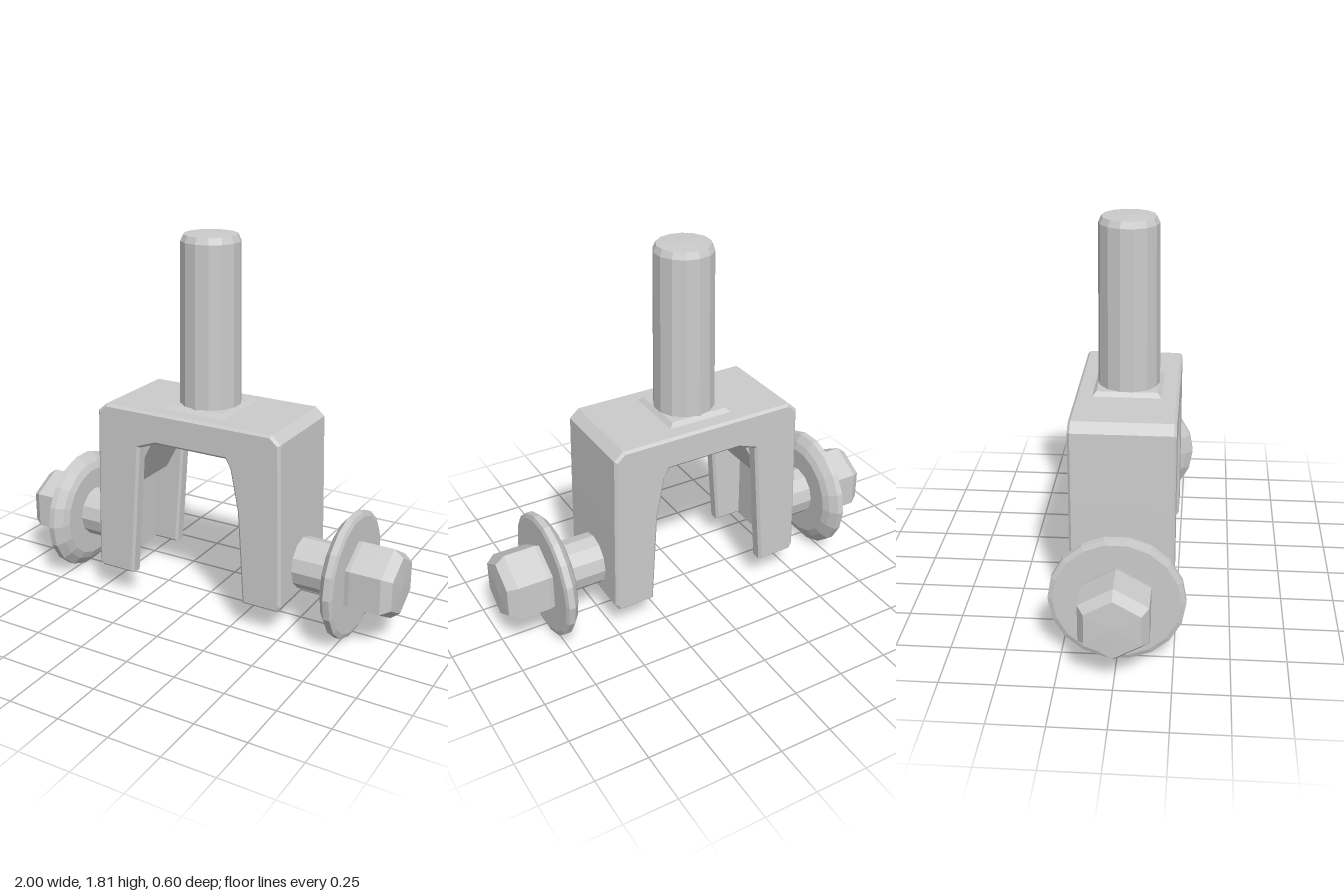
import * as THREE from 'three';

const material = new THREE.MeshStandardMaterial({ color: 0xcccccc, flatShading: true });

function add(parent, name, geometry) {
  const mesh = new THREE.Mesh(geometry, material);
  mesh.name = name;
  parent.add(mesh);
  return mesh;
}

// Extrude an xy outline, centred on the given z, with an optional small bevel
function slab(points, depth, z, bevel = 0) {
  const shape = new THREE.Shape(points.map(([x, y]) => new THREE.Vector2(x, y)));
  const geometry = new THREE.ExtrudeGeometry(shape, {
    depth: depth - 2 * bevel,
    bevelEnabled: bevel > 0,
    bevelThickness: bevel,
    bevelSize: bevel,
    bevelOffset: -bevel,
    bevelSegments: 1,
  });
  return geometry.translate(0, 0, z - depth / 2 + bevel);
}

// Closed faceted solid turned around the y axis; profile is [radius, y] upwards
function turned(profile, sides) {
  return new THREE.LatheGeometry(profile.map(([r, y]) => new THREE.Vector2(r, y)), sides);
}

const mirrorX = (points) => points.map(([x, y]) => [-x, y]).reverse();

export function createModel() {
  const model = new THREE.Group();
  model.name = 'forkBracket';

  // Fork: hollow channel made of two flanges and a bent outer strip
  const fork = new THREE.Group();
  fork.name = 'fork';
  model.add(fork);

  const outer = [[0.49, 0.14], [0.505, 0.17], [0.495, 0.6], [0.485, 0.96], [0.44, 1.0]];
  const inner = [
    [-0.16, 0.845], [0.21, 0.845], [0.235, 0.8], [0.275, 0.6], [0.305, 0.14],
  ];
  const flange = [
    ...outer, ...mirrorX(outer),
    [-0.305, 0.14], [-0.285, 0.4], [-0.255, 0.81], ...inner,
  ];
  add(fork, 'frontFlange', slab(flange, 0.07, 0.205, 0.012));
  add(fork, 'backFlange', slab(flange, 0.07, -0.205, 0.012));

  const lining = [[0.44, 0.14], [0.44, 0.92], [0.42, 0.94]];
  const strip = [...outer, ...mirrorX(outer), ...mirrorX(lining).reverse(), ...lining.slice().reverse()];
  add(fork, 'outerStrip', slab(strip, 0.38, 0));

  // Sloped reinforcement inside each upper corner
  const gusset = [[0.46, 0.56], [0.46, 0.96], [0.17, 0.96], [0.2, 0.86], [0.36, 0.56]];
  add(fork, 'leftGusset', slab(gusset, 0.36, 0));
  add(fork, 'rightGusset', slab(mirrorX(gusset), 0.36, 0));

  // Upright stem and its low base pad
  const pad = add(model, 'stemPad', new THREE.CylinderGeometry(0.2, 0.24, 0.03, 4, 1, false, Math.PI / 4));
  pad.position.y = 1.005;
  add(model, 'stem', turned([
    [0, 0.85], [0.145, 0.85], [0.146, 1.03], [0.139, 1.78], [0.125, 1.81], [0, 1.815],
  ], 14));

  // Bolts pointing out sideways
  for (const side of [1, -1]) {
    const bolt = new THREE.Group();
    bolt.name = side > 0 ? 'leftBolt' : 'rightBolt';
    bolt.rotation.z = -side * Math.PI / 2;
    bolt.position.y = 0.305;
    model.add(bolt);

    add(bolt, 'shank', turned([[0, 0.47], [0.125, 0.47], [0.125, 0.74], [0, 0.74]], 12));
    add(bolt, 'washer', turned([
      [0, 0.695], [0.23, 0.695], [0.265, 0.71], [0.302, 0.74], [0.302, 0.77], [0.28, 0.778], [0, 0.778],
    ], 18));
    const head = add(bolt, 'hexHead', turned([
      [0, 0.76], [0.165, 0.76], [0.175, 0.8], [0.175, 0.95], [0.14, 0.995], [0, 1.0],
    ], 6));
    // Place corners at top and bottom
    head.rotation.y = Math.PI / 2;
  }

  return model;
}
